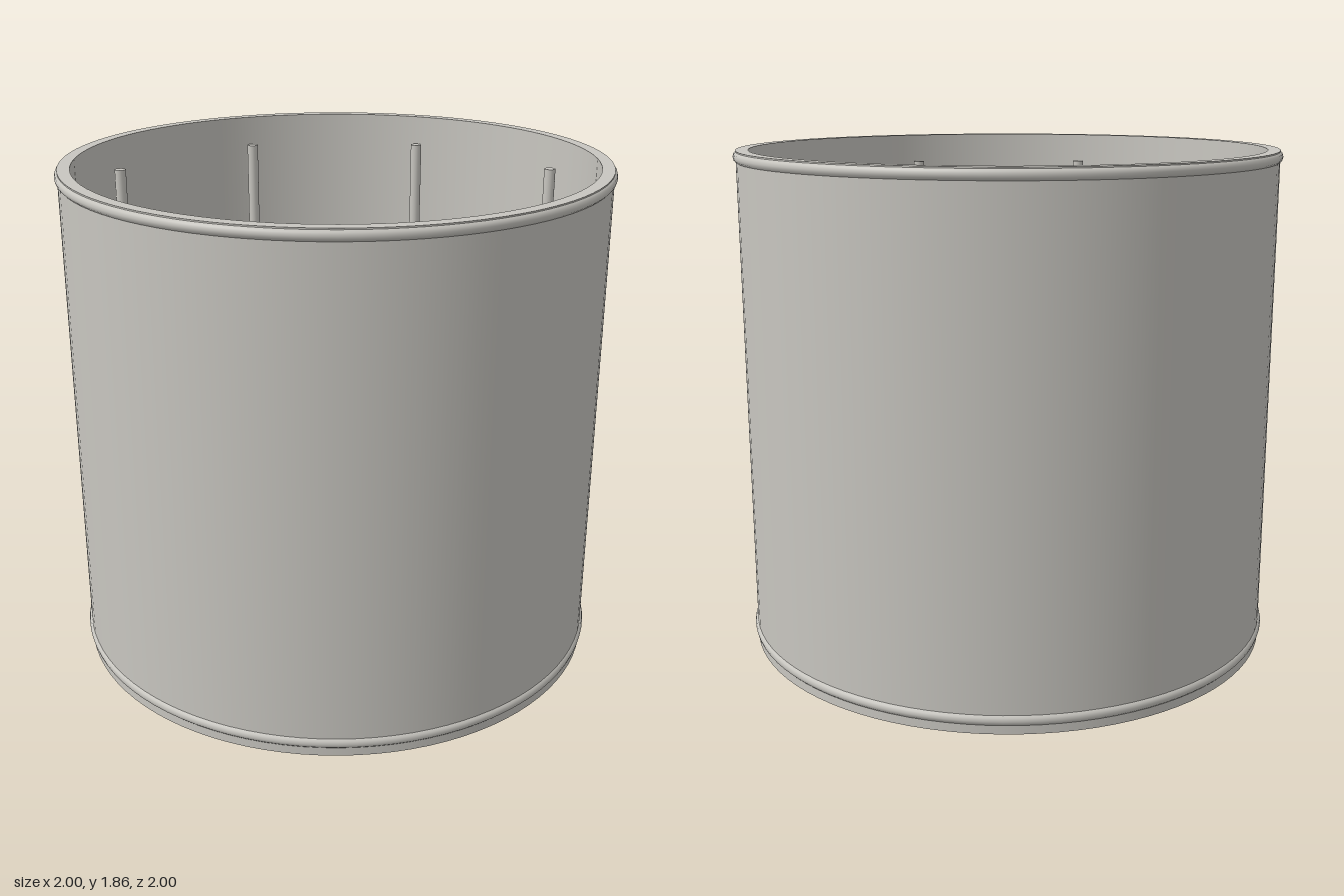
import * as THREE from 'three';

export function createModel() {
  const model = new THREE.Group();
  const grey = new THREE.MeshStandardMaterial({ color: 0xc8c6c0 });
  grey.name = 'warm grey';

  function add(name, geometry, x, y, z) {
    const mesh = new THREE.Mesh(geometry, grey);
    mesh.name = name;
    mesh.position.set(x, y, z);
    model.add(mesh);
  }

  // Thick-walled open cylinder: one turned band per profile edge keeps the rims sharp
  const outer = 0.99, inner = 0.945, height = 1.855;
  const corners = [[outer, 0], [outer, height], [inner, height], [inner, 0]].map(p => new THREE.Vector2(...p));
  ['shellOutside', 'topRim', 'shellInside', 'bottomRim'].forEach((name, i) => {
    add(name, new THREE.LatheGeometry([corners[i], corners[(i + 1) % 4]], 96), 0, 0, 0);
  });

  // Rounded hoops around both ends
  const hoop = new THREE.TorusGeometry(0.978, 0.022, 12, 96).rotateX(Math.PI / 2);
  add('topHoop', hoop, 0, 1.832, 0);
  add('bottomHoop', hoop, 0, 0.05, 0);

  // Eight tension rods just inside the wall
  const rodBottom = 0.03, rodTop = 1.745;
  const rod = new THREE.CylinderGeometry(0.022, 0.022, rodTop - rodBottom, 16);
  for (let i = 0; i < 8; i++) {
    const a = (i * Math.PI) / 4;
    add('rod' + (i + 1), rod, 0.904 * Math.cos(a), (rodBottom + rodTop) / 2, 0.904 * Math.sin(a));
  }

  // Flat rectangular plate hanging in the middle
  add('innerPlate', new THREE.BoxGeometry(1.185, 0.02, 0.71), 0, 1.18, 0);

  return model;
}
